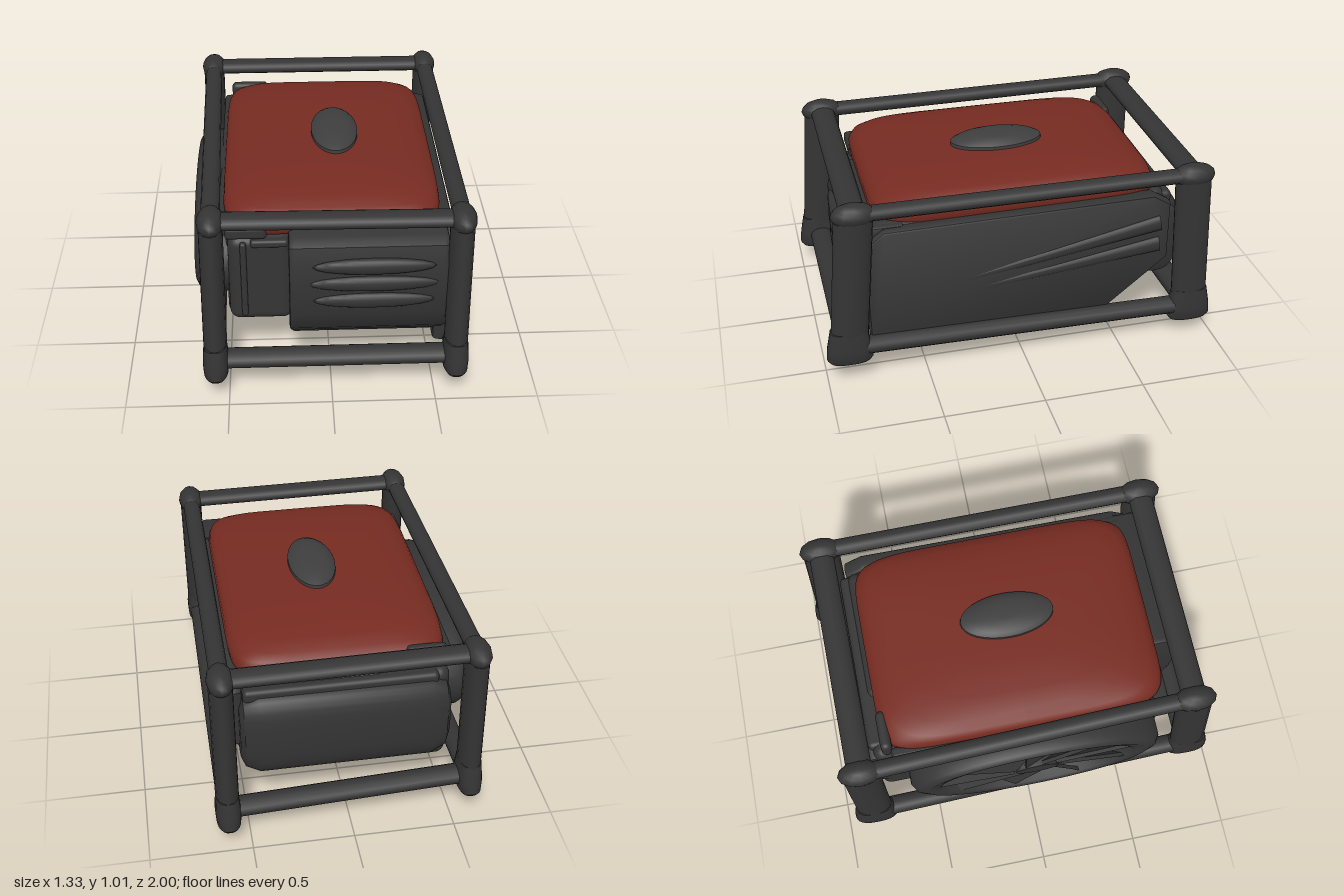
import * as THREE from 'three';
import { toCreasedNormals } from 'three/addons/utils/BufferGeometryUtils.js';
import { RoundedBoxGeometry } from 'three/addons/geometries/RoundedBoxGeometry.js';

const V = (x, y, z) => new THREE.Vector3(x, y, z);

// Stacked rounded-rectangle rings [y, halfX, halfZ, squareness], closed at both ends
function loft(rings, power, n = 48) {
  const pos = [], idx = [];
  const bend = (v, p) => Math.sign(v) * Math.pow(Math.abs(v), 2 / p);
  const all = [[rings[0][0], 0, 0], ...rings, [rings[rings.length - 1][0], 0, 0]];
  all.forEach(([y, hx, hz, p = power], r) => {
    for (let i = 0; i < n; i++) {
      const a = (i / n) * Math.PI * 2;
      pos.push(hx * bend(Math.cos(a), p), y, hz * bend(Math.sin(a), p));
      if (r === all.length - 1) continue;
      const s = r * n + i, t = r * n + (i + 1) % n;
      if (r > 0) idx.push(s, s + n, t);
      if (r < all.length - 2 && r > 0) idx.push(t, s + n, t + n);
      if (r === 0) idx.push(s, s + n, t + n);
    }
  });
  const g = new THREE.BufferGeometry();
  g.setAttribute('position', new THREE.Float32BufferAttribute(pos, 3));
  g.setIndex(idx);
  return toCreasedNormals(g, 0.7);
}

// Oval bar between two points; ref is the direction of the first half width
function barGeometry(a, b, ref, w, h, sides = 12) {
  const d = b.clone().sub(a), len = d.length();
  const Y = d.normalize();
  const X = ref.clone().addScaledVector(Y, -ref.dot(Y)).normalize();
  const Z = X.clone().cross(Y);
  const g = new THREE.CylinderGeometry(1, 1, len, sides);
  g.scale(w, 1, h);
  g.applyMatrix4(new THREE.Matrix4().makeBasis(X, Y, Z).setPosition(a.clone().add(b).multiplyScalar(0.5)));
  return g;
}

// Plate with a side outline of [z, y] points, thick along x from x0 to x1
function sideExtrude(points, x0, x1, bevel) {
  const shape = new THREE.Shape(points.map(([z, y]) => new THREE.Vector2(-z, y)));
  const g = new THREE.ExtrudeGeometry(shape, {
    depth: x1 - x0 - 2 * bevel, bevelEnabled: true, bevelThickness: bevel, bevelSize: 0.015, bevelSegments: 3,
  });
  g.rotateY(Math.PI / 2);
  g.translate(x0 + bevel, 0, 0);
  return toCreasedNormals(g, 0.6);
}

export function createModel() {
  const model = new THREE.Group();
  const dark = new THREE.MeshStandardMaterial({ color: 0x343434 });
  dark.name = 'dark grey';
  const red = new THREE.MeshStandardMaterial({ color: 0x762b21 });
  red.name = 'tank red';
  const grey = new THREE.MeshStandardMaterial({ color: 0x3e3e3e });
  grey.name = 'cap grey';

  const add = (name, geo, mat = dark, parent = model) => {
    const m = new THREE.Mesh(geo, mat);
    m.name = name;
    parent.add(m);
    return m;
  };
  const block = (name, x0, x1, y0, y1, z0, z1, r, parent = model) => {
    const m = add(name, new RoundedBoxGeometry(x1 - x0, y1 - y0, z1 - z0, 4, r), dark, parent);
    m.position.set((x0 + x1) / 2, (y0 + y1) / 2, (z0 + z1) / 2);
    return m;
  };

  // Tubular frame: slightly leaning posts, corner joints, feet and rails
  const frame = new THREE.Group();
  frame.name = 'frame';
  model.add(frame);
  const top = [V(-0.555, 0.935, 0.825), V(0.605, 0.925, 0.825), V(0.605, 0.92, -0.85), V(-0.595, 0.925, -0.84)];
  const low = [V(-0.56, 0.19, 0.885), V(0.6, 0.19, 0.885), V(0.605, 0.165, -0.88), V(-0.6, 0.185, -0.84)];
  const up = V(0, 1, 0);
  for (let i = 0; i < 4; i++) {
    const j = (i + 1) % 4;
    const across = i % 2 === 0;
    add('post', barGeometry(low[i], top[i], V(1, 0, 0), 0.057, 0.093, 16), dark, frame);
    add('topRail', barGeometry(top[i], top[j], up, 0.036, across ? 0.062 : 0.045), dark, frame);
    add('bottomRail', barGeometry(low[i], low[j], up, 0.045, across ? 0.06 : 0.05), dark, frame);
    const joint = add('cornerJoint', new THREE.SphereGeometry(1, 12, 8), dark, frame);
    joint.scale.set(0.065, 0.06, 0.11);
    joint.position.copy(top[i]);
    const foot = add('foot', loft([[-0.075, 0.05, 0.1], [-0.055, 0.06, 0.115], [0, 0.063, 0.11], [0.1, 0.055, 0.09]], 2.6, 24), dark, frame);
    foot.position.copy(low[i]);
  }

  // Fuel tank: full sides, crowned top with softened corners, and an oval cap
  const tank = add('fuelTank', loft([
    [0.775, 0.5, 0.7], [0.8, 0.52, 0.72], [0.84, 0.525, 0.72], [0.875, 0.52, 0.705, 7],
    [0.9, 0.5, 0.67, 6], [0.922, 0.45, 0.59, 5], [0.938, 0.36, 0.47, 4], [0.947, 0.22, 0.3, 3], [0.95, 0.1, 0.15, 2],
  ], 8, 64), red);
  tank.position.x = 0.015;
  const cap = add('tankCap', loft([[0.92, 0.12, 0.24], [0.965, 0.118, 0.235], [0.982, 0.1, 0.2], [0.997, 0.07, 0.13], [1.0, 0.03, 0.06]], 2, 32), grey);
  cap.position.set(0.05, 0, 0.01);

  // Dark skirt that wraps the left edge and two left corners of the tank
  block('tankSkirtSide', -0.53, -0.47, 0.74, 0.83, -0.68, 0.66, 0.02);
  block('tankSkirtFront', -0.5, -0.3, 0.76, 0.825, 0.6, 0.725, 0.02);
  block('tankSkirtRear', -0.49, -0.29, 0.76, 0.89, -0.725, -0.67, 0.025);

  // Engine and generator housings
  const body = new THREE.Group();
  body.name = 'body';
  model.add(body);
  block('mainHousing', -0.2, 0.55, 0.23, 0.815, -0.46, 0.74, 0.05, body);
  block('rearHousing', -0.2, 0.52, 0.34, 0.8, -0.76, -0.3, 0.06, body);
  block('sideHousing', -0.5, -0.12, 0.25, 0.78, -0.77, 0.64, 0.05, body);
  block('sideCollar', -0.49, -0.18, 0.28, 0.76, 0.5, 0.715, 0.05, body);
  block('collarRim', -0.38, -0.2, 0.715, 0.755, 0.6, 0.73, 0.015, body);
  block('sideRib', -0.43, -0.4, 0.32, 0.74, 0.6, 0.73, 0.012, body);
  block('floorPan', -0.2, 0.52, 0.2, 0.3, -0.5, 0.72, 0.03, body);

  // Bulging front panel with horizontal ribs
  add('frontPanel', sideExtrude([
    [0.6, 0.265], [0.75, 0.265], [0.81, 0.32], [0.84, 0.42], [0.85, 0.55], [0.845, 0.68], [0.82, 0.77], [0.78, 0.795], [0.6, 0.795],
  ], -0.2, 0.555, 0.025), dark, body);
  [[0.69, 0.29], [0.595, 0.31], [0.5, 0.29]].forEach(([y, half]) => {
    const rib = add('frontRib', new THREE.SphereGeometry(1, 20, 10), dark, body);
    rib.scale.set(half, 0.042, 0.03);
    rib.position.set(0.2, y, 0.86);
  });

  // Right side panel with the lower rear corner cut away
  add('sidePanel', sideExtrude([
    [0.76, 0.2], [-0.42, 0.2], [-0.74, 0.46], [-0.74, 0.75], [-0.66, 0.8], [0.68, 0.785], [0.77, 0.72],
  ], 0.5, 0.59, 0.035), dark, body);

  // Swept creases that widen toward the back of the side panel
  [[0.55, 0.43, 0.66], [0.45, 0.39, 0.54]].forEach(([z0, y0, y1]) => {
    const a = V(0.58, y0, z0), b = V(0.585, y1, -0.7);
    const g = new THREE.CylinderGeometry(1, 0.2, a.distanceTo(b), 10);
    g.scale(0.025, 1, 0.045);
    const m = add('sideCrease', g, dark, body);
    m.position.copy(a).add(b).multiplyScalar(0.5);
    m.quaternion.setFromUnitVectors(up, b.clone().sub(a).normalize());
  });

  // Muffler across the back
  const muffler = add('muffler', loft([[-0.51, 0.15, 0.09], [-0.49, 0.2, 0.12], [-0.42, 0.235, 0.14], [0.42, 0.235, 0.14], [0.49, 0.2, 0.12], [0.51, 0.15, 0.09]], 3, 32), dark, body);
  muffler.rotation.z = Math.PI / 2;
  muffler.position.set(0.01, 0.52, -0.715);
  block('mufflerShield', -0.44, 0.5, 0.71, 0.78, -0.79, -0.62, 0.025, body);

  // Oval cooling fan on the side opposite the panel: bowl, hub and blades
  const fan = new THREE.Group();
  fan.name = 'coolingFan';
  model.add(fan);
  const bowl = [[0.9, -0.1], [1, -0.05], [1, 0.09], [0.96, 0.13], [0.88, 0.15], [0.78, 0.14], [0.7, 0.085], [0, 0.075]];
  add('fanHousing', toCreasedNormals(new THREE.LatheGeometry(bowl.map(([r, y]) => new THREE.Vector2(r, y)), 48), 0.9), dark, fan);
  const hub = add('fanHub', new THREE.CylinderGeometry(0.17, 0.22, 0.08, 24), dark, fan);
  hub.position.y = 0.1;
  for (let i = 0; i < 9; i++) {
    const arm = new THREE.Group();
    arm.name = 'fanBlade';
    arm.rotation.y = (i / 9) * Math.PI * 2;
    fan.add(arm);
    const blade = add('blade', new THREE.BoxGeometry(0.62, 0.02, 0.2), dark, arm);
    blade.position.set(0.48, 0.105, 0);
    blade.rotation.x = 0.25;
  }
  fan.rotation.z = Math.PI / 2;
  fan.scale.set(0.3, 1, 0.65);
  fan.position.set(-0.505, 0.53, 0.03);

  // Bent prop leg and underside pipe
  const leg = [V(-0.2, 0.2, 0.31), V(-0.2, 0.08, 0.25), V(-0.205, 0.012, 0.13)];
  for (let i = 0; i < 2; i++) add('propLeg', barGeometry(leg[i], leg[i + 1], V(1, 0, 0), 0.014, 0.02, 8));
  add('underPipe', barGeometry(V(-0.22, 0.215, -0.6), V(-0.22, 0.215, 0.5), up, 0.03, 0.04));

  return model;
}
